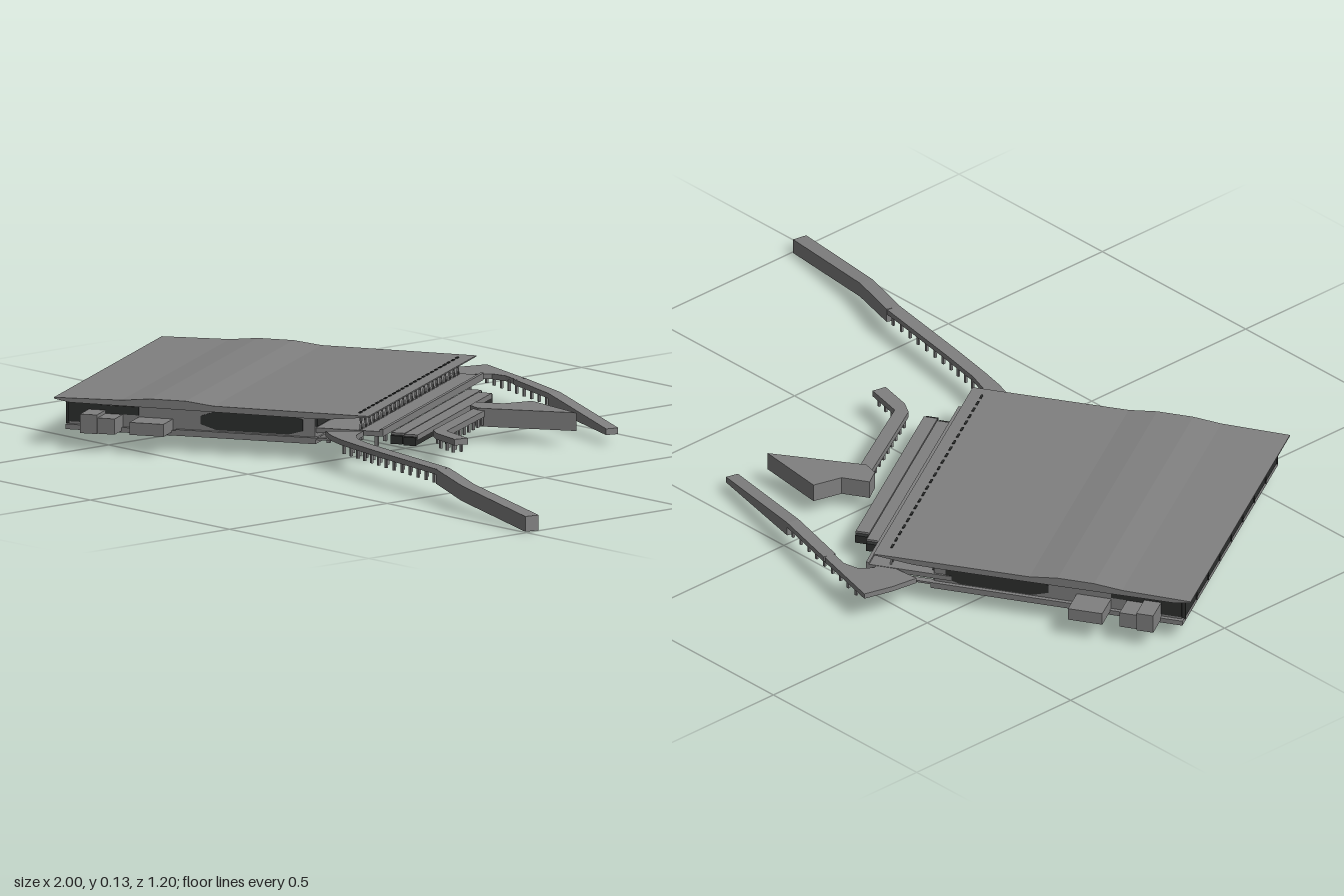
import * as THREE from 'three';

const concrete = new THREE.MeshStandardMaterial({ name: 'concrete grey', color: 0x808080 });
const glass = new THREE.MeshStandardMaterial({ name: 'dark glass', color: 0x2e302f });

function add(parent, geo, mat, name, x = 0, y = 0, z = 0) {
  const m = new THREE.Mesh(geo, mat);
  m.name = name;
  m.position.set(x, y, z);
  parent.add(m);
  return m;
}

// Box given by its limits
function block(parent, name, x0, x1, y0, y1, z0, z1, mat = concrete) {
  return add(parent, new THREE.BoxGeometry(x1 - x0, y1 - y0, z1 - z0), mat, name,
    (x0 + x1) / 2, (y0 + y1) / 2, (z0 + z1) / 2);
}

// Outline of [a, b] points extruded by a depth
function extrude(pts, depth) {
  const shape = new THREE.Shape(pts.map(([a, b]) => new THREE.Vector2(a, b)));
  return new THREE.ExtrudeGeometry(shape, { depth, bevelEnabled: false });
}

// Flat plate from a plan outline of [x, z] points
function plate(parent, name, pts, y0, y1) {
  const geo = extrude(pts.map(([x, z]) => [x, -z]), y1 - y0);
  geo.rotateX(-Math.PI / 2);
  return add(parent, geo, concrete, name, 0, y0, 0);
}

// Road deck swept along stations of [x, z, top, bottom, width]
function road(parent, name, st) {
  const pos = [], idx = [];
  st.forEach(([x, z, top, bottom, w], i) => {
    const a = st[Math.max(i - 1, 0)], b = st[Math.min(i + 1, st.length - 1)];
    const d = new THREE.Vector2(b[0] - a[0], b[1] - a[1]).normalize();
    const nx = -d.y * w / 2, nz = d.x * w / 2;
    pos.push(x + nx, top, z + nz, x - nx, top, z - nz, x - nx, bottom, z - nz, x + nx, bottom, z + nz);
    if (i === 0) return;
    const p = (i - 1) * 4, q = i * 4;
    for (let k = 0; k < 4; k++) {
      const n = (k + 1) % 4;
      idx.push(p + k, q + k, q + n, p + k, q + n, p + n);
    }
  });
  const e = (st.length - 1) * 4;
  idx.push(0, 1, 2, 0, 2, 3, e, e + 2, e + 1, e, e + 3, e + 2);
  const geo = new THREE.BufferGeometry();
  geo.setAttribute('position', new THREE.Float32BufferAttribute(pos, 3));
  geo.setIndex(idx);
  const flat = geo.toNonIndexed();
  flat.computeVertexNormals();
  return add(parent, flat, concrete, name);
}

// Paired piers spaced along a line
function piers(parent, a, b, count, spread) {
  const dx = b[0] - a[0], dz = b[1] - a[1], l = Math.hypot(dx, dz);
  for (let i = 0; i < count; i++) {
    const t = (i + 0.5) / count;
    for (const s of [-1, 1]) {
      add(parent, new THREE.BoxGeometry(0.006, 0.026, 0.006), concrete, 'pier',
        a[0] + dx * t - s * spread * dz / l, 0.053, a[1] + dz * t + s * spread * dx / l);
    }
  }
}

function buildTerminal() {
  const g = new THREE.Group();
  g.name = 'terminal';
  g.position.set(-1, 0, -0.11);
  g.rotation.y = 0.53;
  const W = 0.823;

  // Roof with a raised central band and a tapering canopy
  const profile = [[0, 0.113], [0.04, 0.106], [0.62, 0.102], [0.69, 0.103], [0.787, 0.113],
    [0.787, 0.116], [0.40, 0.118], [0.33, 0.126], [0.24, 0.126], [0.17, 0.119], [0, 0.116]];
  add(g, extrude(profile, W), concrete, 'roof');

  // Hall and its lower slab
  block(g, 'hall', 0.03, 0.645, 0.045, 0.104, 0.025, W - 0.025);
  block(g, 'groundSlab', 0.025, 0.65, 0.038, 0.05, 0.015, W - 0.015);

  // Glazing on the rear end, with mullions
  block(g, 'rearGlazing', 0.024, 0.03, 0.05, 0.107, 0.03, W - 0.03, glass);
  for (let i = 0; i <= 8; i++) {
    const z = 0.03 + i * (W - 0.06) / 8;
    block(g, 'mullion', 0.021, 0.025, 0.05, 0.107, z - 0.002, z + 0.002, glass);
  }

  // Side glazing and projecting stair blocks, mirrored
  const window = [[0.36, 0.088], [0.36, 0.068], [0.40, 0.056], [0.58, 0.056], [0.615, 0.066],
    [0.615, 0.094], [0.58, 0.102], [0.40, 0.102]];
  for (const s of [-1, 1]) {
    const at = d => W / 2 + s * d;
    const side = (name, x0, x1, y0, y1, d0, d1, mat) =>
      block(g, name, x0, x1, y0, y1, Math.min(at(d0), at(d1)), Math.max(at(d0), at(d1)), mat);
    add(g, extrude(window, 0.004), glass, 'sideWindow', 0, 0, at(0.387) - 0.002);
    side('endWindow', 0.03, 0.11, 0.056, 0.102, 0.385, 0.389, glass);
    side('highWindow', 0.11, 0.205, 0.08, 0.1, 0.385, 0.389, glass);
    side('stairBlock', 0.08, 0.122, 0.042, 0.088, 0.38, 0.455);
    side('stairBlock', 0.122, 0.165, 0.042, 0.08, 0.38, 0.45);
    side('stairBlock', 0.205, 0.29, 0.046, 0.076, 0.38, 0.46);
    side('sideLedge', 0.30, 0.70, 0.048, 0.053, 0.38, 0.397);
  }

  // Entrance front, forecourt deck and its columns
  block(g, 'entranceGlazing', 0.645, 0.65, 0.078, 0.102, 0.03, W - 0.03, glass);
  block(g, 'forecourtDeck', 0.6, 0.812, 0.062, 0.074, 0.02, W - 0.035);
  block(g, 'deckParapet', 0.804, 0.812, 0.074, 0.079, 0.02, W - 0.035);
  for (let i = 0; i < 24; i++) {
    const z = 0.04 + i * 0.032;
    block(g, 'canopyStud', 0.752, 0.757, 0.115, 0.1185, z, z + 0.016, glass);
    for (const lean of [-0.4, 0.4])
      block(g, 'canopyStrut', 0.752, 0.756, 0.072, 0.111, z, z + 0.004).rotation.x = lean;
    if (i % 2) for (const x of [0.67, 0.73, 0.79])
      block(g, 'deckColumn', x, x + 0.008, 0.038, 0.063, z, z + 0.008);
  }

  // Two long islands beside the forecourt: grey tops over dark bodies
  for (const [x, z0, z1] of [[0.832, 0.15, 0.735], [0.868, 0.18, 0.745]]) {
    block(g, 'islandTop', x - 0.017, x + 0.017, 0.05, 0.063, z0, z1);
    block(g, 'islandBody', x - 0.015, x + 0.015, 0.038, 0.058, z0 - 0.012, z1 + 0.012, glass);
  }
  return g;
}

export function createModel() {
  const model = new THREE.Group();
  model.name = 'terminalWithRoads';
  model.add(buildTerminal());

  // Long approach ramp
  road(model, 'longViaduct', [[0.035, 0.225, 0.075, 0.062, 0.09], [0.075, 0.262, 0.075, 0.062, 0.06],
    [0.12, 0.285, 0.075, 0.062, 0.042], [0.18, 0.302, 0.075, 0.062, 0.035], [0.3, 0.325, 0.075, 0.062, 0.035],
    [0.55, 0.368, 0.075, 0.062, 0.035]]);
  road(model, 'longRamp', [[0.55, 0.368, 0.075, 0.04, 0.035], [0.7, 0.42, 0.063, 0.026, 0.035],
    [0.993, 0.476, 0.037, 0, 0.037]]);
  piers(model, [0.1, 0.28], [0.3, 0.325], 6, 0.012);
  piers(model, [0.3, 0.325], [0.55, 0.368], 7, 0.012);

  // Corner deck and rear ramp
  plate(model, 'cornerDeck', [[-0.42, -0.46], [-0.41, -0.53], [-0.39, -0.602], [-0.2, -0.553], [-0.19, -0.523],
    [-0.25, -0.538], [-0.29, -0.53], [-0.315, -0.5], [-0.3, -0.47]], 0.06, 0.073);
  road(model, 'rearViaduct', [[-0.2, -0.538, 0.073, 0.06, 0.032], [-0.02, -0.489, 0.071, 0.058, 0.032]]);
  road(model, 'rearRamp', [[-0.02, -0.489, 0.071, 0.036, 0.032], [0.28, -0.408, 0.037, 0.022, 0.032]]);
  piers(model, [-0.36, -0.575], [-0.02, -0.489], 9, 0.01);

  // Wedge block with a bent side road
  plate(model, 'wedgeBlock', [[0.06, -0.348], [0.245, -0.325], [0.045, -0.19], [0.005, -0.2], [-0.02, -0.24],
    [0.04, -0.275]], 0.036, 0.08);
  road(model, 'bentRoad', [[0.03, -0.215, 0.075, 0.06, 0.034], [0.18, 0.05, 0.075, 0.06, 0.034],
    [0.205, 0.062, 0.075, 0.06, 0.036], [0.293, 0.082, 0.075, 0.06, 0.036]]);
  piers(model, [0.04, -0.2], [0.18, 0.05], 9, 0.011);
  piers(model, [0.2, 0.062], [0.29, 0.082], 3, 0.011);

  return model;
}
